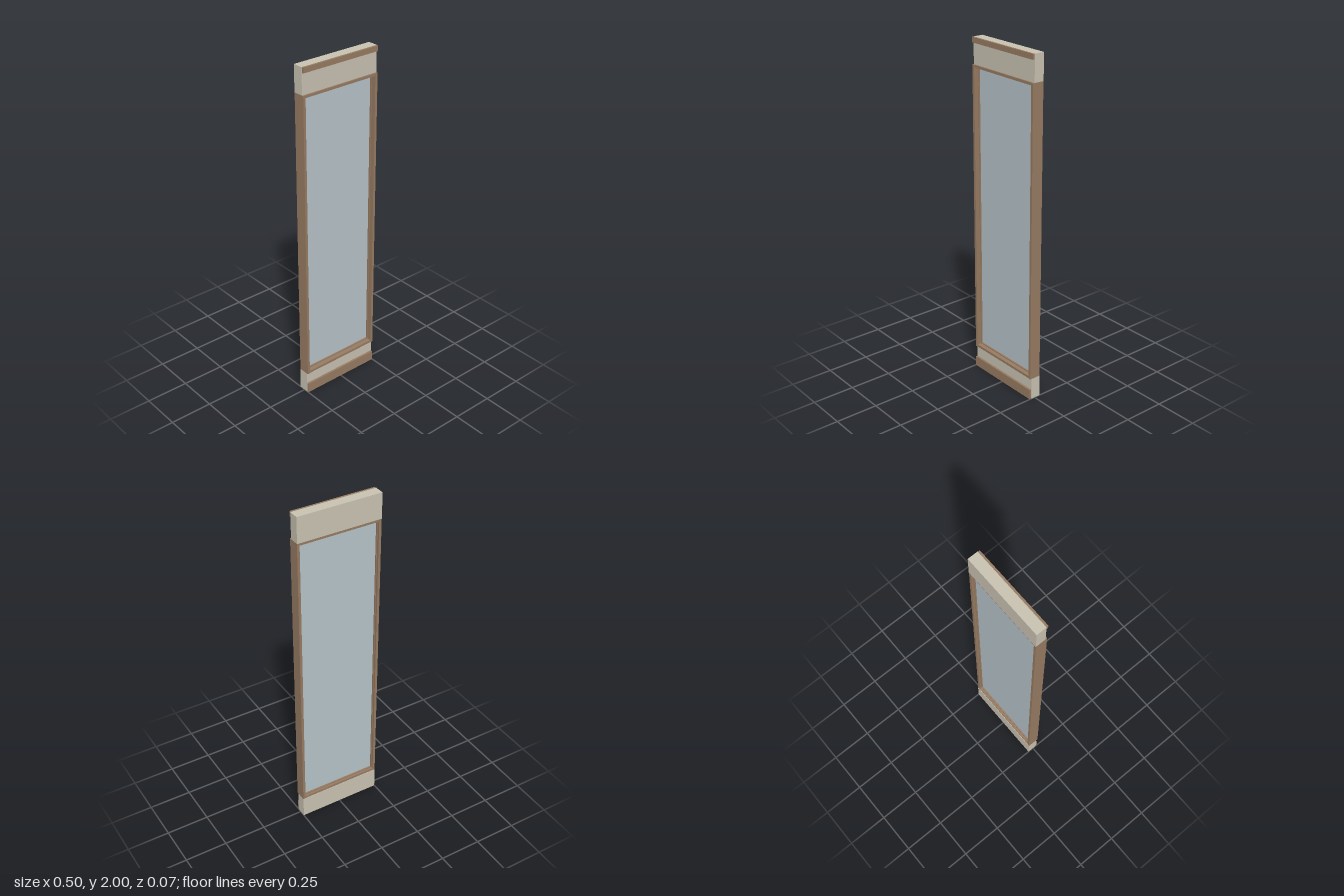
import * as THREE from 'three';

export function createModel() {
  const model = new THREE.Group();
  model.name = 'windowPanel';

  const material = (name, color) => {
    const m = new THREE.MeshStandardMaterial({ color });
    m.name = name;
    return m;
  };
  const wall = material('cream wall', 0xc9c3b2);
  const wood = material('brown wood', 0x987c63);
  const glass = material('pale blue glass', 0xb7c4ca);

  // Box given by its limits on each axis
  const box = (name, mat, [x0, x1], [y0, y1], [z0, z1]) => {
    const mesh = new THREE.Mesh(new THREE.BoxGeometry(x1 - x0, y1 - y0, z1 - z0), mat);
    mesh.position.set((x0 + x1) / 2, (y0 + y1) / 2, (z0 + z1) / 2);
    mesh.name = name;
    model.add(mesh);
  };

  const wide = [-0.25, 0.25];
  const wallDepth = [-0.037, 0.023];
  const frameDepth = [-0.036, 0.033];
  const trimDepth = [0.023, 0.035];

  // Wall above and below the window
  box('lowerWall', wall, wide, [0, 0.13], wallDepth);
  box('upperWall', wall, wide, [1.85, 2], wallDepth);

  // Skirting and cornice strips on the front
  box('skirting', wood, [-0.248, 0.248], [0, 0.06], trimDepth);
  box('cornice', wood, [-0.248, 0.248], [1.97, 2], trimDepth);

  // Window frame: two full-height jambs with rails between them
  for (const [side, x] of [['right', [-0.25, -0.235]], ['left', [0.235, 0.25]]]) {
    box(side + 'Jamb', wood, x, [0.13, 1.85], frameDepth);
  }
  box('sill', wood, [-0.235, 0.235], [0.13, 0.145], [-0.034, 0.031]);
  box('head', wood, [-0.235, 0.235], [1.835, 1.85], [-0.034, 0.031]);

  // Slim beads holding the pane
  const beadDepth = [-0.022, 0.006];
  box('lowerBead', wood, [-0.235, 0.235], [0.145, 0.151], beadDepth);
  box('upperBead', wood, [-0.235, 0.235], [1.829, 1.835], beadDepth);
  for (const s of [-1, 1]) {
    const x = [s * 0.235, s * 0.231].sort((a, b) => a - b);
    box(s < 0 ? 'rightBead' : 'leftBead', wood, x, [0.151, 1.829], beadDepth);
  }

  // Glass pane
  box('glassPane', glass, [-0.232, 0.232], [0.15, 1.83], [-0.013, -0.003]);

  return model;
}
